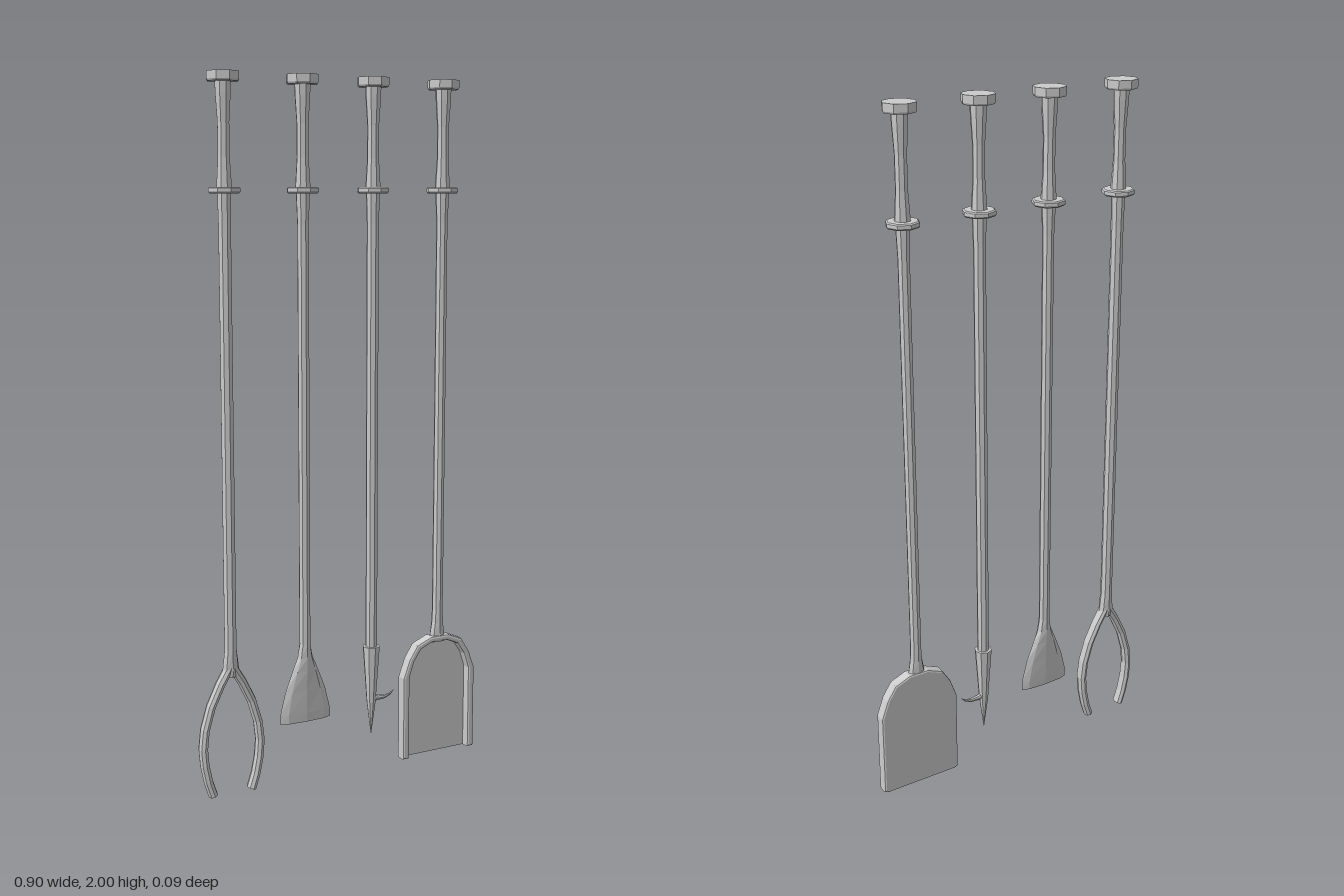
import * as THREE from 'three';

const mat = new THREE.MeshStandardMaterial({ color: 0xcccccc, flatShading: true });

function part(name, geometry) {
  const m = new THREE.Mesh(geometry, mat);
  m.name = name;
  return m;
}

// Eight-sided sweep along a path in the xy plane; rows are [x, y, halfWidth, halfDepth]
function sweep(rows, sides = 8) {
  const pos = [], idx = [];
  rows.forEach(([x, y, w, d], i) => {
    const p = rows[Math.max(i - 1, 0)], q = rows[Math.min(i + 1, rows.length - 1)];
    const t = new THREE.Vector2(q[0] - p[0], q[1] - p[1]).normalize();
    for (let j = 0; j < sides; j++) {
      const a = (j / sides) * Math.PI * 2, c = Math.cos(a) * w;
      pos.push(x + t.y * c, y - t.x * c, Math.sin(a) * d);
    }
  });
  const n = rows.length, last = (n - 1) * sides;
  const first = rows[0], end = rows[n - 1];
  pos.push(first[0], first[1], 0, end[0], end[1], 0);
  for (let j = 0; j < sides; j++) {
    const k = (j + 1) % sides;
    for (let i = 0; i < n - 1; i++) {
      const a = i * sides + j, b = i * sides + k;
      idx.push(a, a + sides, b, b, a + sides, b + sides);
    }
    idx.push(n * sides, j, k, n * sides + 1, last + k, last + j);
  }
  const g = new THREE.BufferGeometry();
  g.setAttribute('position', new THREE.Float32BufferAttribute(pos, 3));
  g.setIndex(idx);
  g.computeVertexNormals();
  return g;
}

// Shaft, collar, waisted grip and knob shared by every tool
function makeTool(name, x, bottom, r) {
  const profile = [
    [0, bottom], [r, bottom], [r, 1.6], [0.02, 1.685], [0.042, 1.685], [0.046, 1.689], [0.046, 1.699],
    [0.042, 1.702], [0.022, 1.702], [0.017, 1.78], [0.017, 1.87], [0.022, 1.945], [0.023, 1.974],
    [0.043, 1.974], [0.046, 1.979], [0.046, 2], [0, 2],
  ].map(([a, b]) => new THREE.Vector2(a, b));
  const g = new THREE.Group();
  g.name = name;
  g.position.x = x;
  g.add(part('shaftAndHandle', new THREE.LatheGeometry(profile, 8)));
  return g;
}

function makeTongs() {
  const g = makeTool('tongs', -0.352, 0.38, 0.018);
  g.add(part('forkNeck', sweep([[0, 0.35, 0.016, 0.016], [0, 0.37, 0.025, 0.018], [0, 0.43, 0.018, 0.018]])));
  const path = [
    [0.004, 0.378], [0.033, 0.33], [0.062, 0.27], [0.081, 0.205], [0.087, 0.15],
    [0.083, 0.1], [0.073, 0.05], [0.059, 0.007],
  ];
  for (const s of [-1, 1]) {
    g.add(part(s < 0 ? 'rightArm' : 'leftArm', sweep(path.map(([x, y]) => [s * x, y, 0.0135, 0.017]))));
  }
  return g;
}

function makeBrush() {
  const g = makeTool('brush', -0.12, 0.38, 0.0165);
  g.add(part('flaredHead', sweep([
    [0, 0.178, 0.08, 0.011], [0, 0.205, 0.08, 0.012], [0, 0.27, 0.064, 0.013],
    [0, 0.33, 0.041, 0.015], [0, 0.37, 0.024, 0.0165], [0, 0.41, 0.0165, 0.0165],
  ])));
  return g;
}

function makePoker() {
  const g = makeTool('poker', 0.098, 0.36, 0.0175);
  g.add(part('point', sweep([
    [0, 0.1, 0.001, 0.001], [0, 0.2, 0.014, 0.014], [0, 0.3, 0.021, 0.021], [0, 0.37, 0.026, 0.026],
  ])));
  g.add(part('hook', sweep([
    [0, 0.212, 0.011, 0.009], [0.02, 0.207, 0.009, 0.007], [0.045, 0.206, 0.006, 0.005],
    [0.063, 0.211, 0.0035, 0.003], [0.078, 0.223, 0.0005, 0.0005],
  ])));
  return g;
}

function makeShovel() {
  const g = makeTool('shovel', 0.325, 0.36, 0.0165);
  g.add(part('neck', sweep([
    [0, 0.352, 0.03, 0.014], [0, 0.375, 0.025, 0.017], [0, 0.41, 0.019, 0.0165], [0, 0.45, 0.0165, 0.0165],
  ])));
  // Arched outlines, right half mirrored to the left
  const arch = (half) => [...half, ...half.map(([x, y]) => [-x, y]).reverse()]
    .map(([x, y]) => new THREE.Vector2(x, y));
  const outer = arch([[0.125, 0], [0.125, 0.255], [0.105, 0.31], [0.078, 0.352], [0.03, 0.372]]);
  const inner = arch([[0.103, 0], [0.103, 0.255], [0.088, 0.302], [0.064, 0.338], [0.026, 0.354]]);
  // Raised rim, open at the bottom
  const rim = new THREE.ExtrudeGeometry(new THREE.Shape([...outer, ...inner.slice().reverse()]), {
    depth: 0.022, bevelEnabled: true, bevelThickness: 0.007, bevelSize: 0.006, bevelOffset: -0.006, bevelSegments: 2,
  });
  rim.translate(0, 0, -0.011);
  g.add(part('rim', rim));
  // Flat pan at the back
  const floor = arch([[0.117, 0], [0.117, 0.255], [0.1, 0.307], [0.074, 0.346], [0.029, 0.365]]);
  const pan = new THREE.ExtrudeGeometry(new THREE.Shape(floor), { depth: 0.01, bevelEnabled: false });
  pan.translate(0, 0, -0.018);
  g.add(part('pan', pan));
  return g;
}

export function createModel() {
  const group = new THREE.Group();
  group.name = 'fireplaceTools';
  group.add(makeTongs(), makeBrush(), makePoker(), makeShovel());
  return group;
}
